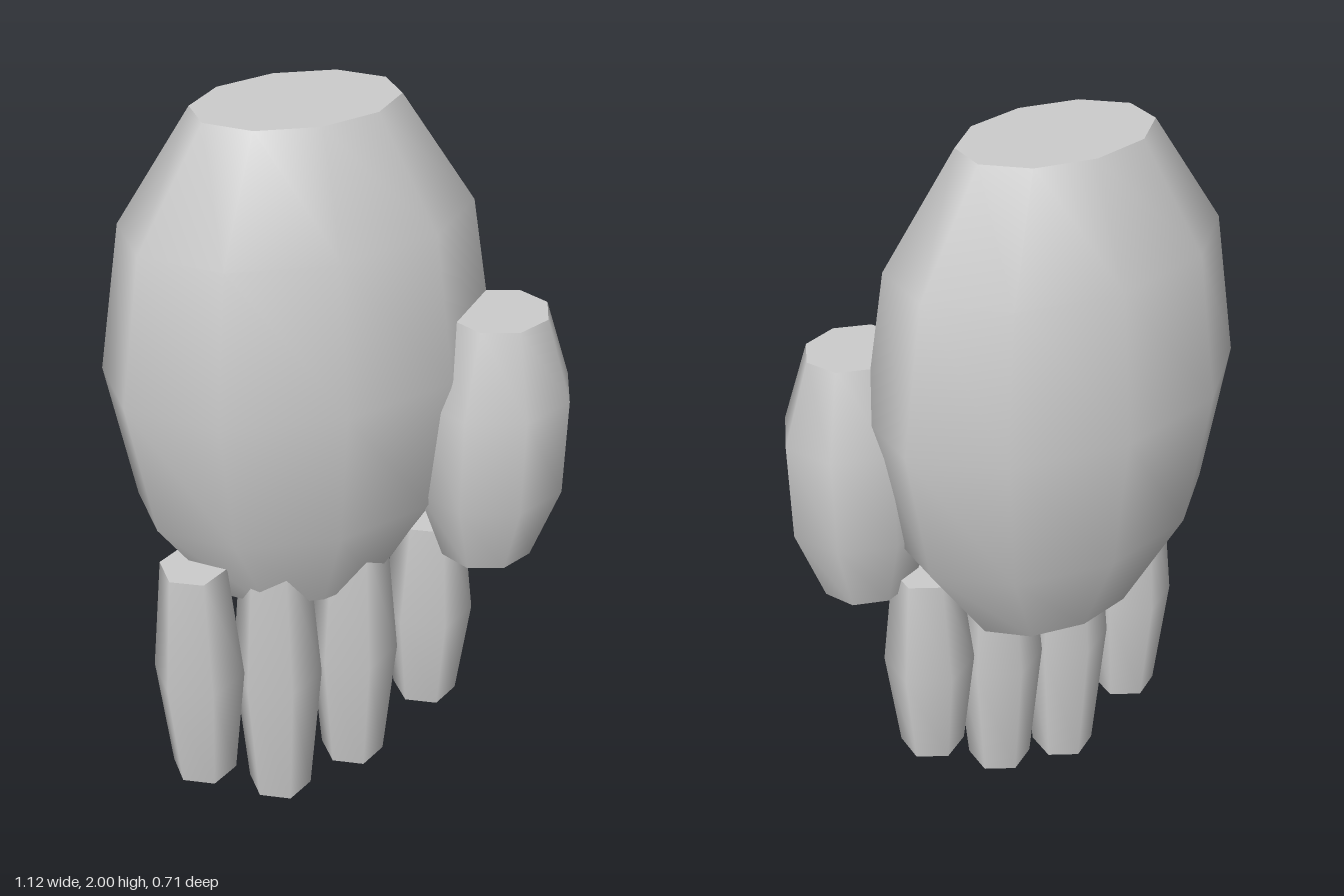
import * as THREE from 'three';
import { mergeGeometries } from 'three/addons/utils/BufferGeometryUtils.js';

// Faceted barrel: smooth sides from [radius, y] rings (bottom to top), flat caps at both ends
function barrel(rings, sides, depth) {
  const turn = (pts) => new THREE.LatheGeometry(pts.map(([r, y]) => new THREE.Vector2(r, y)), sides);
  const bottom = rings[0];
  const top = rings[rings.length - 1];
  const geometry = mergeGeometries([
    turn(rings),
    turn([[0, bottom[1]], bottom]),
    turn([top, [0, top[1]]]),
  ]);
  return geometry.scale(1, 1, depth);
}

export function createModel() {
  const hand = new THREE.Group();
  hand.name = 'hand';
  const grey = new THREE.MeshStandardMaterial({ color: 0xcccccc });
  grey.name = 'light grey';

  const add = (name, geometry, x, z) => {
    const mesh = new THREE.Mesh(geometry, grey);
    mesh.name = name;
    mesh.position.set(x, 0, z);
    hand.add(mesh);
  };

  // Palm: wide ten-sided barrel, flattened front to back
  add('palm', barrel([[0.25, 0.675], [0.435, 0.957], [0.5, 1.338], [0.435, 1.722], [0.25, 2]], 10, 0.655), -0.086, -0.028);

  // Thumb: short eight-sided barrel at the front left
  add('thumb', barrel([[0.126, 0.768], [0.2, 0.985], [0.2, 1.255], [0.126, 1.473]], 8, 0.885), 0.356, 0.176);

  // Fingers: six-sided, widest at the middle; [name, x, tip y, base y]
  const fingers = [
    ['littleFinger', -0.415, 0.137, 0.83],
    ['ringFinger', -0.197, 0, 0.84],
    ['middleFinger', 0.023, 0.058, 0.83],
    ['indexFinger', 0.242, 0.22, 0.82],
  ];
  for (const [name, x, tip, base] of fingers) {
    add(name, barrel([[0.088, tip], [0.122, (tip + base) / 2], [0.088, base]], 6, 1), x, 0.068);
  }
  return hand;
}
